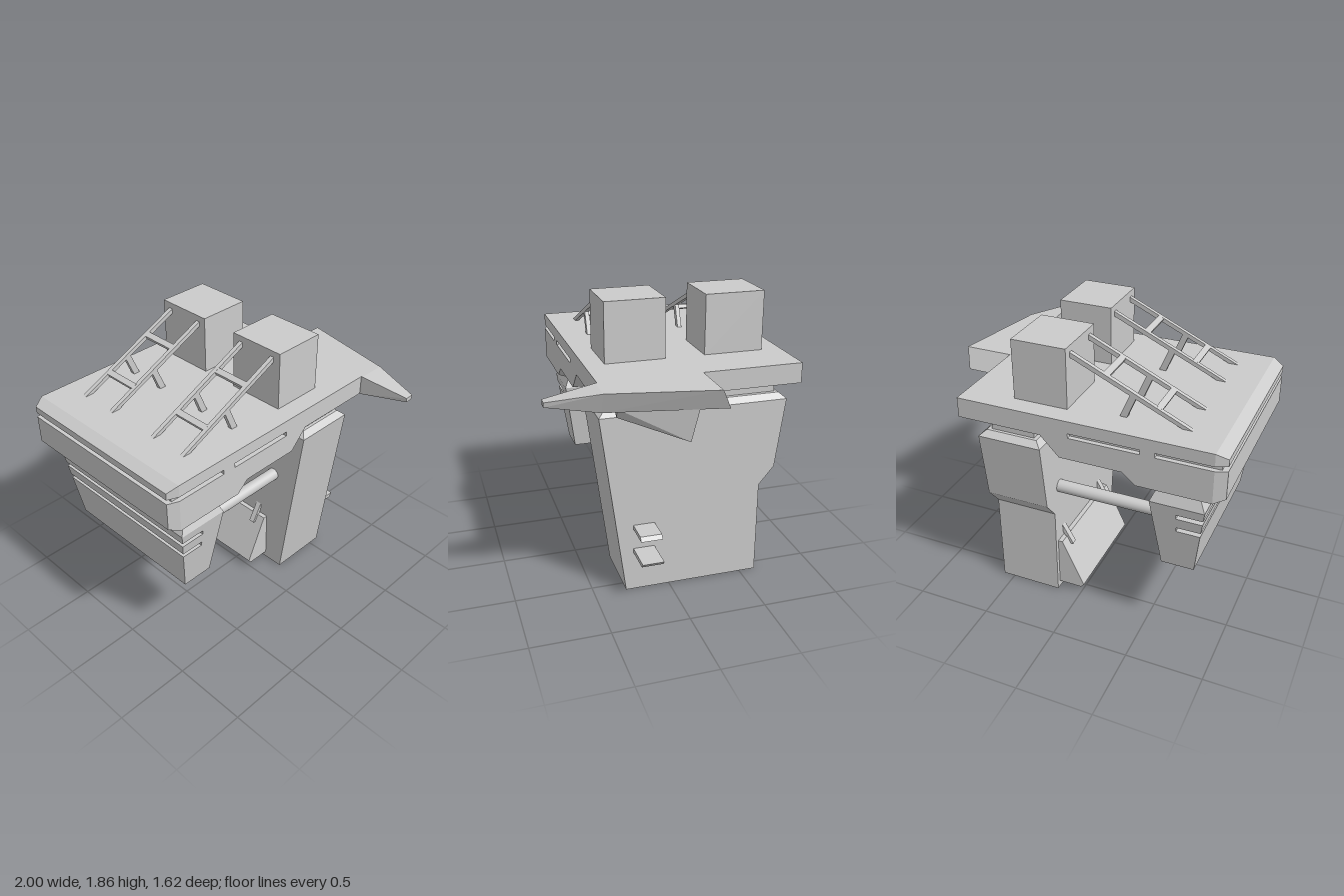
import * as THREE from 'three';

const material = new THREE.MeshStandardMaterial({ color: 0xcccccc, flatShading: true });
const smoothMaterial = new THREE.MeshStandardMaterial({ color: 0xcccccc });

// Joins equal-length convex loops of [x, y, z] points and caps both ends
function loft(loops) {
  const tris = [];
  const n = loops[0].length;
  for (let s = 0; s < loops.length - 1; s++) {
    const a = loops[s], b = loops[s + 1];
    for (let i = 0; i < n; i++) {
      const j = (i + 1) % n;
      tris.push([a[i], a[j], b[j]], [a[i], b[j], b[i]]);
    }
  }
  const first = loops[0], last = loops[loops.length - 1];
  for (let i = 1; i < n - 1; i++) {
    tris.push([first[0], first[i + 1], first[i]], [last[0], last[i], last[i + 1]]);
  }
  // A negative volume means the faces point inward
  const v = (p) => new THREE.Vector3(...p);
  const volume = tris.reduce((sum, [a, b, c]) => sum + v(a).dot(v(b).cross(v(c))), 0);
  if (volume < 0) tris.forEach((t) => t.reverse());
  const geometry = new THREE.BufferGeometry();
  geometry.setAttribute('position', new THREE.Float32BufferAttribute(tris.flat(2), 3));
  geometry.computeVertexNormals();
  return geometry;
}

// Horizontal rectangle at height y
const rectY = (y, x0, x1, z0, z1) => [[x0, y, z0], [x0, y, z1], [x1, y, z1], [x1, y, z0]];
// Upright rectangle at position x
const rectX = (x, y0, y1, z0, z1) => [[x, y0, z0], [x, y0, z1], [x, y1, z1], [x, y1, z0]];

// Side profile in x, y extruded from z0 to z1
function slab(points, z0, z1) {
  const shape = new THREE.Shape(points.map(([x, y]) => new THREE.Vector2(x, y)));
  return new THREE.ExtrudeGeometry(shape, { depth: z1 - z0, bevelEnabled: false }).translate(0, 0, z0);
}

function block(x0, x1, y0, y1, z0, z1) {
  return new THREE.BoxGeometry(x1 - x0, y1 - y0, z1 - z0)
    .translate((x0 + x1) / 2, (y0 + y1) / 2, (z0 + z1) / 2);
}

export function createModel() {
  const model = new THREE.Group();
  const add = (name, geometry, parent = model, mat = material) => {
    const mesh = new THREE.Mesh(geometry, mat);
    mesh.name = name;
    parent.add(mesh);
  };
  const group = (name) => {
    const g = new THREE.Group();
    g.name = name;
    model.add(g);
    return g;
  };

  // Deck: lower hull, grooved band and top plate
  const deck = group('deck');
  const back = -0.81, front = 0.48, grooveLow = 1.365, grooveHigh = 1.395;
  add('lowerHull', slab([[-0.93, 1.15], [-0.47, 1.15], [-0.39, 1.22], [0.01, 1.22], [0.13, 1.345],
    [0.68, 1.345], [0.68, grooveLow], [-0.93, grooveLow]], back, front), deck);
  add('lowerHullEnd', loft([rectX(-0.93, 1.15, grooveLow, back, front),
    rectX(-1, 1.18, grooveLow, back + 0.03, front - 0.03)]), deck);
  add('grooveCore', block(-0.965, 0.6, grooveLow, grooveHigh, back + 0.03, front - 0.03), deck);
  for (const [x0, x1] of [[-0.585, -0.495], [-0.05, 0.68]]) {
    add('grooveStop', block(x0, x1, grooveLow, grooveHigh, back, front), deck);
  }
  add('topPlate', block(-0.93, 0.68, grooveHigh, 1.475, back, front), deck);
  add('topPlateEnd', loft([rectX(-0.93, grooveHigh, 1.475, back, front),
    rectX(-1, grooveHigh, 1.44, back + 0.03, front - 0.03)]), deck);

  // Side wing: slanted rear end, tapering to a blunt point at the front
  add('wing', loft([
    [[0.68, 1.475, -0.165], [1, 1.475, -0.165], [0.96, 1.345, -0.23], [0.68, 1.345, -0.23]],
    [[0.68, 1.475, 0.49], [0.87, 1.475, 0.49], [0.82, 1.345, 0.49], [0.68, 1.345, 0.49]],
    [[0.73, 1.43, 0.81], [0.79, 1.43, 0.81], [0.785, 1.4, 0.81], [0.735, 1.4, 0.81]],
  ]));
  add('wingFin', loft([
    [[0.7, 1.345, 0.39], [0.79, 1.345, 0.39], [0.74, 1.275, 0.385]],
    [[0.82, 1.345, -0.055], [0.93, 1.345, -0.055], [0.905, 1.14, -0.015]],
  ]));

  // Large support tower with a bevelled shoulder and a neck
  add('tower', loft([
    rectY(0, 0.16, 0.58, -0.61, 0.29),
    rectY(0.63, 0.16, 0.58, -0.61, 0.373),
    rectY(0.75, 0.16, 0.58, -0.71, 0.389),
    rectY(1.21, 0.16, 0.58, -0.77, 0.45),
    rectY(1.245, 0.2, 0.54, -0.73, 0.41),
  ]));
  add('towerNeck', block(0.225, 0.515, 1.24, 1.35, -0.71, 0.39));

  // Steps on the outside of the tower
  add('upperStep', slab([[0.57, 0.438], [0.755, 0.438], [0.735, 0.465], [0.57, 0.465]], 0.1, 0.24));
  add('lowerStep', slab([[0.57, 0.268], [0.765, 0.268], [0.79, 0.297], [0.57, 0.297]], 0.1, 0.24));

  // Sloping cowl at the inner foot of the tower, held by two struts
  add('cowl', slab([[0.17, 0.045], [0, 0.045], [-0.02, 0.07], [0.13, 0.39], [0.17, 0.39]], -0.58, 0.15));
  for (const z of [-0.49, 0.07]) {
    add('cowlStrut', slab([[0.085, 0.34], [0.11, 0.33], [0.17, 0.44], [0.17, 0.49]], z - 0.02, z + 0.02));
  }

  // Short leg under the other end, with two grooves round its outer side
  const leg = group('shortLeg');
  add('hip', loft([rectY(1.15, -0.93, -0.47, back, front), rectY(1.09, -0.835, -0.565, -0.72, 0.39)]), leg);
  const legRect = (y, inset = 0, fromX = null) => {
    const t = (y - 0.54) / 0.48;
    const lerp = THREE.MathUtils.lerp;
    const x0 = fromX ?? lerp(-0.81, -0.875, t) + inset;
    return rectY(y, x0, lerp(-0.6, -0.535, t), lerp(-0.68, -0.75, t) + inset, lerp(0.35, 0.42, t) - inset);
  };
  for (const [y0, y1] of [[0.54, 0.83], [0.86, 0.93], [0.96, 1.02]]) {
    add('legBlock', loft([legRect(y0), legRect(y1)]), leg);
  }
  for (const [y0, y1] of [[0.83, 0.86], [0.93, 0.96]]) {
    add('legGrooveCore', loft([legRect(y0, 0.035), legRect(y1, 0.035)]), leg);
    add('legGrooveStop', loft([legRect(y0, 0, -0.7), legRect(y1, 0, -0.7)]), leg);
  }
  add('legShoulder', loft([legRect(1.02), rectY(1.09, -0.84, -0.565, -0.72, 0.39)]), leg);

  // Cross rods between leg and tower
  for (const z of [-0.53, 0.2]) {
    const rod = new THREE.CylinderGeometry(0.042, 0.042, 0.8, 24).rotateZ(Math.PI / 2);
    add('crossRod', rod.translate(-0.2, 0.805, z), model, smoothMaterial);
  }

  // Two rooftop boxes, each with a sloping ladder frame
  for (const z of [-0.487, 0.16]) {
    const unit = group('roofUnit');
    add('roofBox', block(0.01, 0.36, 1.47, 1.86, z - 0.194, z + 0.194), unit);
    for (const side of [-1, 1]) {
      const z0 = z + side * 0.13 - 0.014, z1 = z0 + 0.028;
      add('rail', slab([[-0.74, 1.475], [-0.68, 1.475], [0.02, 1.792], [0.02, 1.825]], z0, z1), unit);
      add('railStrut', slab([[-0.4, 1.61], [-0.345, 1.475], [-0.3, 1.475], [-0.362, 1.625]], z0, z1), unit);
    }
    for (const x of [-0.53, -0.205]) {
      const y = 1.558 + (x + 0.53) * 0.457;
      const rung = new THREE.BoxGeometry(0.04, 0.026, 0.25).rotateZ(Math.atan(0.457));
      add('rung', rung.translate(x, y, z), unit);
    }
  }
  return model;
}
